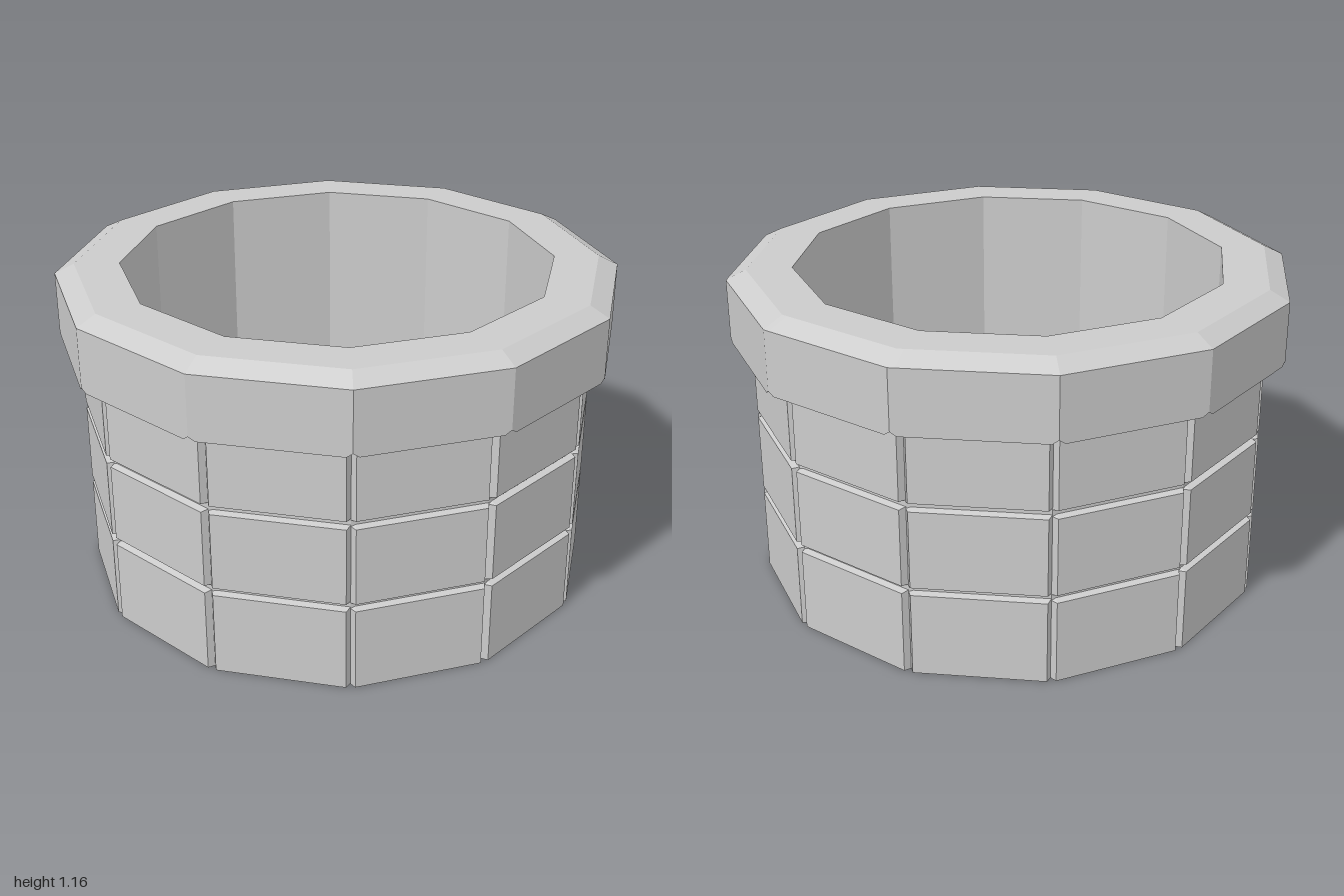
import * as THREE from 'three';

const SIDES = 12;
const material = new THREE.MeshStandardMaterial({ color: 0xcccccc, flatShading: true });

// Twelve-sided ring with three points per corner: a point on the side before it, the corner, a point after it.
// The corner itself may sit at its own radius and height, which cuts a notch.
function ring(r, y, w, cornerR = r, cornerY = y) {
  const at = (k, radius, h) => {
    const a = (k / SIDES) * Math.PI * 2;
    return new THREE.Vector3(Math.cos(a) * radius, h, Math.sin(a) * radius);
  };
  const t = r > 0 ? w / (2 * r * Math.sin(Math.PI / SIDES)) : 0;
  const points = [];
  for (let k = 0; k < SIDES; k++) {
    const corner = at(k, r, y);
    points.push(corner.clone().lerp(at(k - 1, r, y), t));
    points.push(at(k, cornerR, cornerY));
    points.push(corner.lerp(at(k + 1, r, y), t));
  }
  return points;
}

// Skin between successive rings
function loft(name, rings) {
  const n = SIDES * 3;
  const index = [];
  for (let j = 0; j < rings.length - 1; j++) {
    for (let i = 0; i < n; i++) {
      const a = j * n + i;
      const b = j * n + ((i + 1) % n);
      const d = a + n;
      const c = b + n;
      const closedBelow = rings[j][0].distanceTo(rings[j][1]) < 1e-6;
      const closedAbove = rings[j + 1][0].distanceTo(rings[j + 1][1]) < 1e-6;
      if (!closedBelow) index.push(a, d, b);
      if (!closedAbove) index.push(b, d, c);
    }
  }
  const indexed = new THREE.BufferGeometry().setFromPoints(rings.flat());
  indexed.setIndex(index);
  const geometry = indexed.toNonIndexed();
  geometry.computeVertexNormals();
  const mesh = new THREE.Mesh(geometry, material);
  mesh.name = name;
  return mesh;
}

export function createModel() {
  const group = new THREE.Group();
  group.name = 'stoneWell';

  // Stone wall: three courses of blocks, separated by recessed joints
  const outer = 0.93, core = 0.905, joint = 0.016;
  const wall = [ring(0, 0, 0)];
  for (const [bottom, top] of [[0, 0.3], [0.328, 0.608], [0.638, 0.94]]) {
    if (bottom > 0) wall.push(ring(core, bottom - 0.006, joint));
    wall.push(ring(outer, bottom, joint, core));
    wall.push(ring(outer, top, joint, core));
    if (top < 0.9) wall.push(ring(core, top + 0.006, joint));
  }
  group.add(loft('stoneWall', wall));

  // Rim: notched underside corners, chamfered top edge
  const notch = 0.022;
  group.add(loft('rim', [
    ring(0.9, 0.925, notch, 0.9, 0.94),
    ring(1, 0.903, notch, 1, 0.918),
    ring(1, 1.13, notch),
    ring(0.93, 1.165, notch),
    ring(0.77, 1.165, notch),
  ]));

  // Shaft: inner wall and floor
  group.add(loft('shaft', [
    ring(0.77, 1.165, notch),
    ring(0.77, 0.05, notch),
    ring(0, 0.05, 0),
  ]));

  return group;
}
